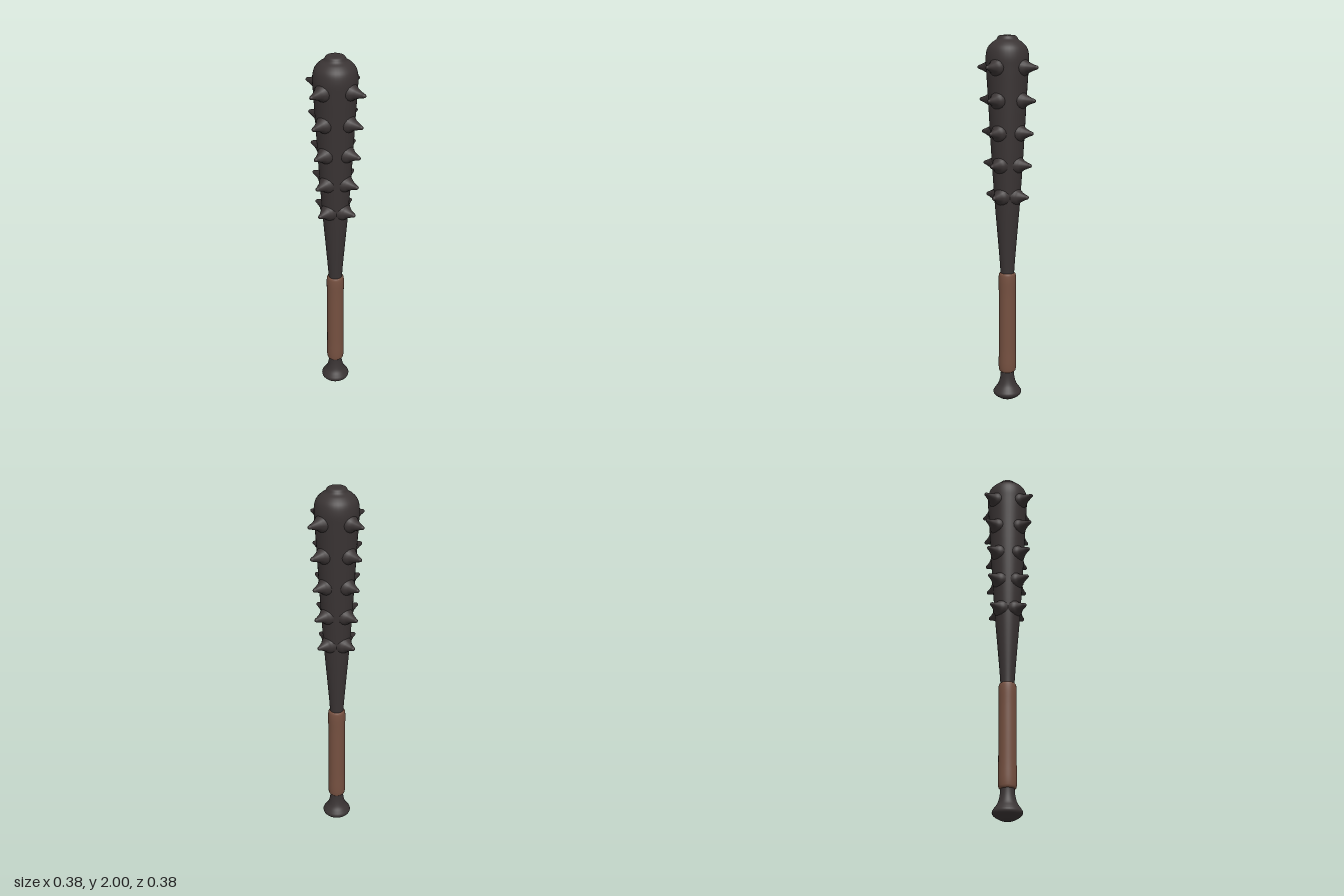
import * as THREE from 'three';

const charredWood = new THREE.MeshStandardMaterial({ color: 0x3a3434 });
const brownLeather = new THREE.MeshStandardMaterial({ color: 0x755040 });

// Smooth lathe from [radius, height] pairs, listed bottom to top
function turned(name, profile, material, smooth = true, sides = 36) {
  let pts = profile.map(([r, y]) => new THREE.Vector2(r, y));
  if (smooth) {
    const curve = new THREE.CatmullRomCurve3(pts.map(p => new THREE.Vector3(p.x, p.y, 0)), false, 'centripetal');
    pts = curve.getPoints(profile.length * 4).map(p => new THREE.Vector2(Math.max(0, p.x), p.y));
  }
  const mesh = new THREE.Mesh(new THREE.LatheGeometry(pts, sides), material);
  mesh.name = name;
  return mesh;
}

export function createModel() {
  const club = new THREE.Group();
  club.name = 'spikedClub';

  // Tapered barrel with a domed, slightly flattened end
  club.add(turned('barrel', [
    [0.036, 0.68], [0.038, 0.74], [0.052, 0.92], [0.067, 1.1], [0.081, 1.3], [0.093, 1.5],
    [0.104, 1.7], [0.112, 1.83], [0.114, 1.89], [0.104, 1.935], [0.08, 1.963],
    [0.058, 1.978], [0.048, 1.994], [0.036, 2], [0, 2],
  ], charredWood));

  // Flared pommel and the neck below the grip
  club.add(turned('pommel', [
    [0, 0.003], [0.03, 0.003], [0.05, 0.012], [0.074, 0.03], [0.078, 0.044],
    [0.068, 0.062], [0.052, 0.085], [0.042, 0.115], [0.037, 0.15], [0.036, 0.19],
  ], charredWood));

  // Leather grip with rounded rims
  club.add(turned('grip', [
    [0.034, 0.161], [0.042, 0.163], [0.047, 0.175], [0.047, 0.3], [0.047, 0.45], [0.047, 0.6],
    [0.047, 0.713], [0.042, 0.726], [0.034, 0.728],
  ], brownLeather));

  // Five rings of four concave spikes: [height, barrel radius, tip reach]
  const rings = [[1.155, 0.071, 0.135], [1.325, 0.082, 0.153], [1.495, 0.093, 0.163],
    [1.665, 0.102, 0.177], [1.835, 0.112, 0.191]];
  rings.forEach(([y, body, reach], ring) => {
    const h = reach - body;
    for (let i = 0; i < 4; i++) {
      const spike = turned(`spike${ring + 1}_${i + 1}`, [
        [0.052, -0.022], [0.042, 0], [0.031, h * 0.2], [0.022, h * 0.45],
        [0.014, h * 0.72], [0.01, h * 0.9], [0.006, h * 0.98], [0, h],
      ], charredWood, true, 16);
      spike.rotation.z = -Math.PI / 2;
      spike.position.x = body;
      const arm = new THREE.Group();
      arm.name = `spikeMount${ring + 1}_${i + 1}`;
      arm.position.y = y;
      arm.rotation.y = i * Math.PI / 2;
      arm.add(spike);
      club.add(arm);
    }
  });

  return club;
}
